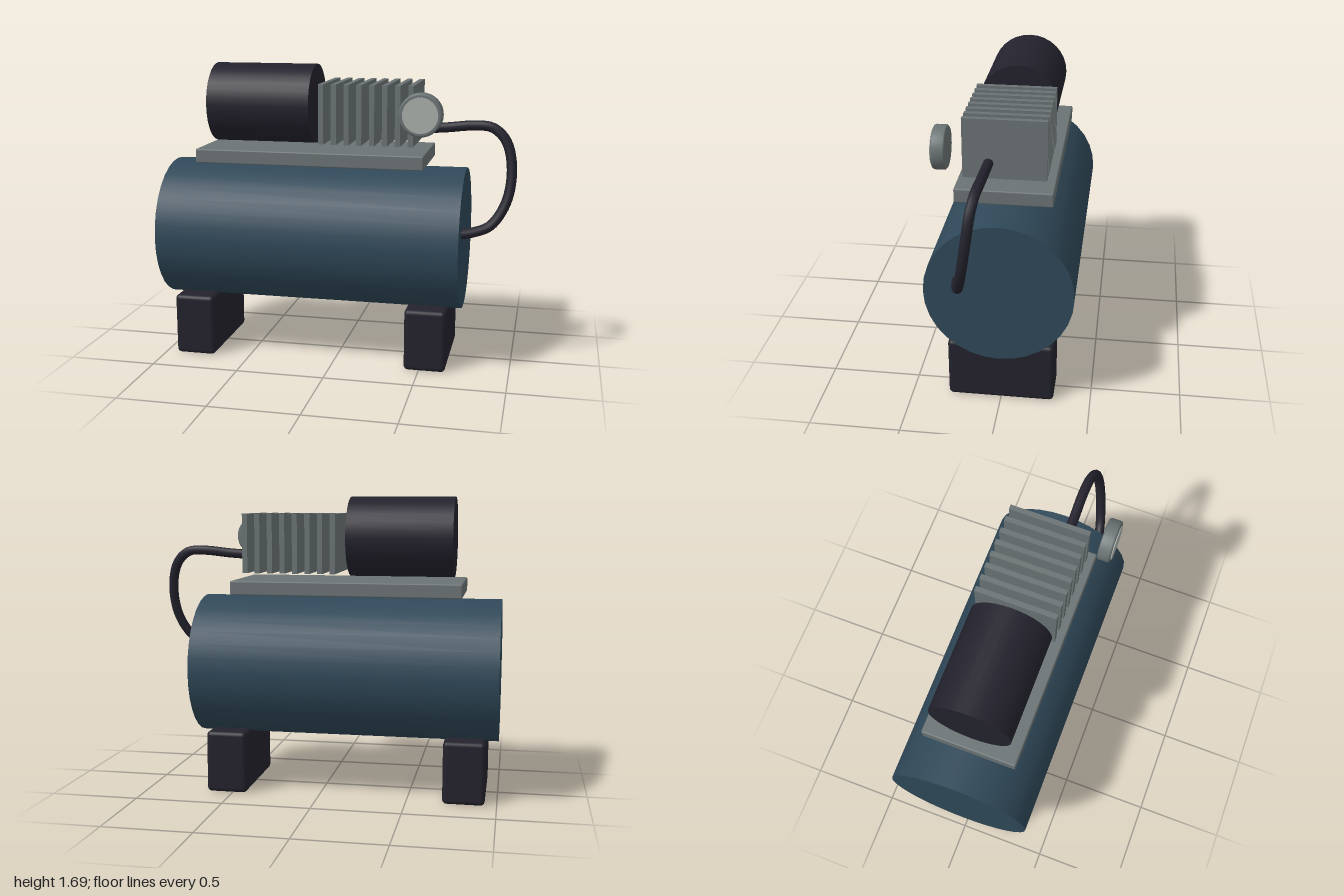
import * as THREE from 'three';
import { RoundedBoxGeometry } from 'three/addons/geometries/RoundedBoxGeometry.js';

const material = (name, color, side = THREE.FrontSide) => {
  const m = new THREE.MeshStandardMaterial({ color, side });
  m.name = name;
  return m;
};

export function createModel() {
  const blue = material('tank blue', 0x2f4858);
  const dark = material('dark rubber', 0x23222d, THREE.DoubleSide);
  const grey = material('metal grey', 0x6b7374);
  const pale = material('dial face', 0xa8afab);

  const model = new THREE.Group();
  model.name = 'airCompressor';
  const add = (name, geometry, mat, x, y, z) => {
    const mesh = new THREE.Mesh(geometry, mat);
    mesh.name = name;
    mesh.position.set(x, y, z);
    model.add(mesh);
    return mesh;
  };
  const lyingCylinder = (radius, length, sides) =>
    new THREE.CylinderGeometry(radius, radius, length, sides).rotateZ(Math.PI / 2);

  // Air tank on two block feet
  add('tank', lyingCylinder(0.402, 1.717, 32), blue, -0.1415, 0.714, 0);
  for (const [name, x] of [['rightFoot', -0.818], ['leftFoot', 0.532]]) {
    add(name, new RoundedBoxGeometry(0.234, 0.354, 0.59, 3, 0.025), dark, x, 0.177, 0);
  }

  // Mounting plate and motor
  add('mountingPlate', new RoundedBoxGeometry(1.296, 0.08, 0.53, 2, 0.008), grey, -0.143, 1.177, 0);
  add('motor', lyingCylinder(0.225, 0.59, 32), dark, -0.439, 1.461, 0);

  // Cooling fins of the pump head
  const fin = new THREE.BoxGeometry(0.029, 0.332, 0.45);
  for (let i = 0; i < 8; i++) {
    add('coolingFin' + (i + 1), fin, grey, -0.072 + i * 0.0713, 1.425, 0);
  }

  // Pressure gauge: bevelled body with a thin dial
  const profile = [[0, 0], [0.109, 0], [0.117, 0.008], [0.117, 0.062], [0.113, 0.07], [0.105, 0.073], [0, 0.073]]
    .map(([r, h]) => new THREE.Vector2(r, h));
  // Separate segments keep the bevel edges crisp
  const body = new THREE.LatheGeometry(profile, 32).rotateX(Math.PI / 2);
  add('gaugeBody', body, grey, 0.497, 1.45, 0.286);
  add('gaugeDial', new THREE.CylinderGeometry(0.096, 0.096, 0.008, 32).rotateX(Math.PI / 2), pale, 0.497, 1.45, 0.36);

  // Hose from the pump head to the end of the tank
  const path = new THREE.CatmullRomCurve3([
    [0.393, 1.342, 0.086], [0.6, 1.355, 0.086], [0.757, 1.37, 0.084], [0.86, 1.362, 0.09],
    [0.935, 1.295, 0.103], [0.972, 1.15, 0.122], [0.95, 0.965, 0.153],
    [0.87, 0.836, 0.186], [0.78, 0.799, 0.207], [0.69, 0.785, 0.222],
  ].map((p) => new THREE.Vector3(...p)));
  add('hose', new THREE.TubeGeometry(path, 48, 0.028, 10), dark, 0, 0, 0);

  return model;
}
